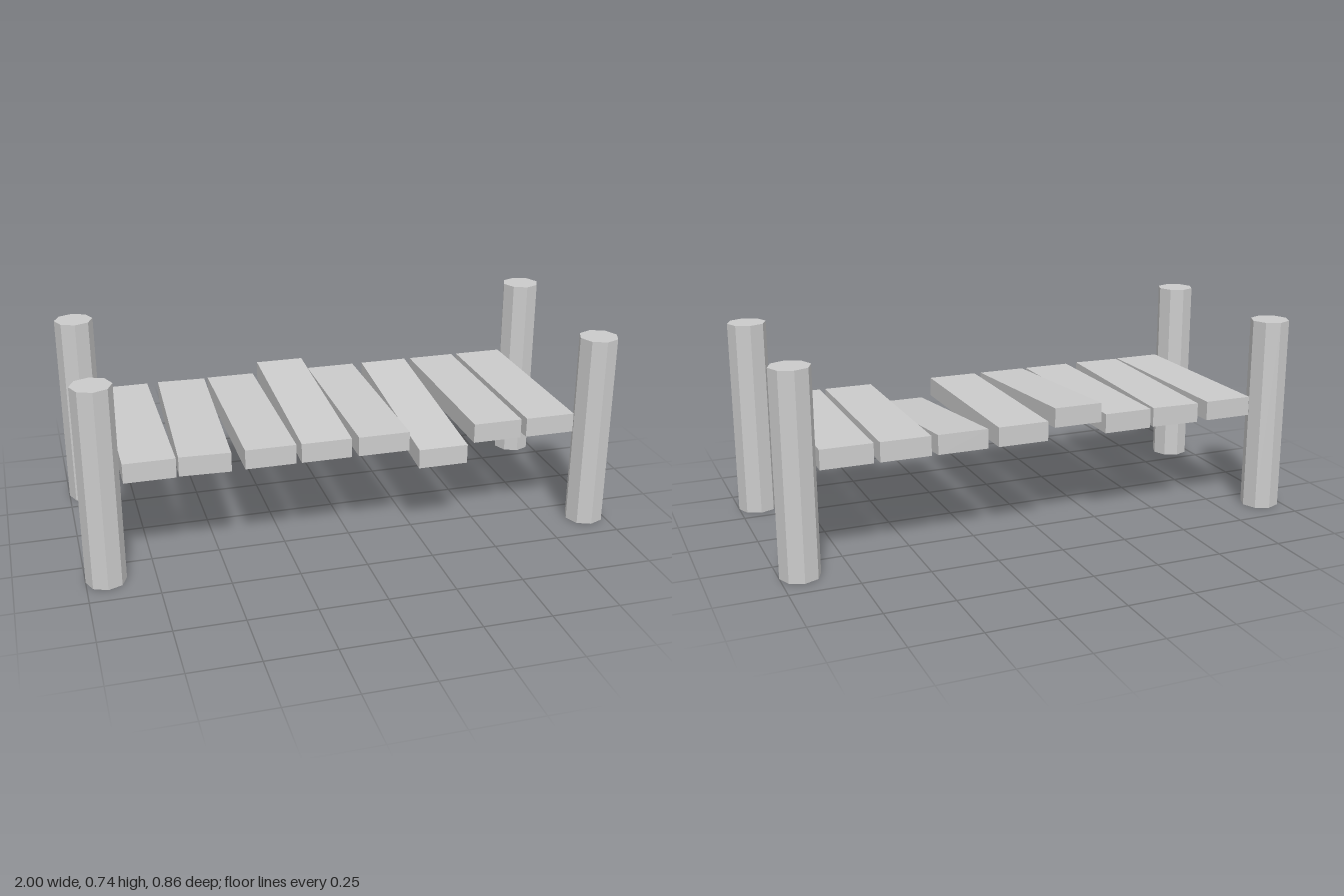
import * as THREE from 'three';

export function createModel() {
  const model = new THREE.Group();
  model.name = 'plankBridge';
  const material = new THREE.MeshStandardMaterial({ color: 0xcccccc, flatShading: true });

  // Four octagonal corner posts
  const postRadius = 0.073, postHeight = 0.743;
  const postGeometry = new THREE.CylinderGeometry(postRadius, postRadius, postHeight, 8);
  for (const sx of [-1, 1]) {
    for (const sz of [-1, 1]) {
      const post = new THREE.Mesh(postGeometry, material);
      post.name = `${sz > 0 ? 'front' : 'back'}${sx > 0 ? 'Left' : 'Right'}Post`;
      post.position.set(sx * (1 - postRadius), postHeight / 2, sz * 0.358);
      model.add(post);
    }
  }

  // Deck planks: centre x, width, lift of the front and back ends, turn about y
  const thickness = 0.073, length = 0.74, deckY = 0.411;
  const planks = [
    { x: -0.752, width: 0.186 },
    { x: -0.54, width: 0.186, turn: -0.047 },
    { x: -0.322, width: 0.186 },
    { x: -0.117, width: 0.186 },
    { x: 0.099, width: 0.192 },
    { x: 0.329, width: 0.188 },
    { x: 0.54, width: 0.186 },
    { x: 0.75, width: 0.19 },
  ];
  planks[3].back = 0.046; // raised at the back
  planks[5].front = -0.078; // sagging at the front

  planks.forEach(({ x, width, front = 0, back = 0, turn = 0 }, i) => {
    const geometry = new THREE.BoxGeometry(width, thickness, length);
    const p = geometry.attributes.position;
    // Shift each end up or down, keeping the end faces upright
    for (let v = 0; v < p.count; v++) p.setY(v, p.getY(v) + (p.getZ(v) > 0 ? front : back));
    geometry.computeVertexNormals();
    const plank = new THREE.Mesh(geometry, material);
    plank.name = `plank${i + 1}`;
    plank.position.set(x, deckY, 0);
    plank.rotation.y = turn;
    model.add(plank);
  });

  return model;
}
